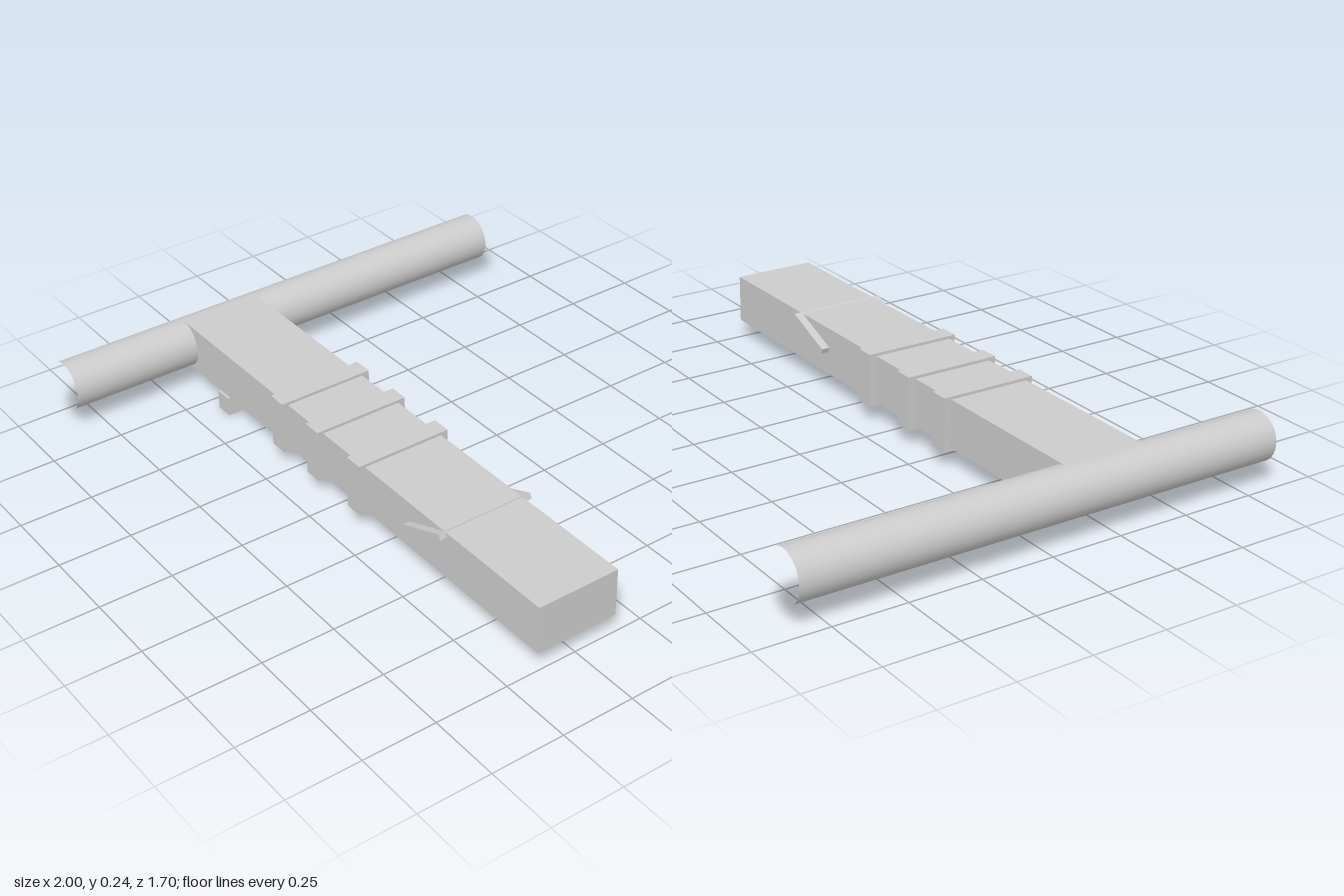
import * as THREE from 'three';

const material = new THREE.MeshStandardMaterial({ color: 0xcccccc });

export function createModel() {
  const model = new THREE.Group();
  const add = (name, geometry, x, y, z) => {
    const mesh = new THREE.Mesh(geometry, material);
    mesh.name = name;
    mesh.position.set(x, y, z);
    model.add(mesh);
    return mesh;
  };
  const box = (name, w, h, d, x, y, z) => add(name, new THREE.BoxGeometry(w, h, d), x, y, z);

  const tubeX = -0.917, tubeY = 0.148, radius = 0.083;
  const bodyZ = 0.245, bodyDepth = 0.29;

  // Open cross tube
  const tube = new THREE.CylinderGeometry(radius, radius, 1.7, 40, 1, true).rotateX(Math.PI / 2);
  add('crossTube', tube, tubeX, tubeY, 0);

  // Rectangular beam with its end scooped out to fit the tube
  const profile = new THREE.Shape();
  profile.moveTo(tubeX, tubeY - radius);
  profile.lineTo(1, tubeY - radius);
  profile.lineTo(1, tubeY + radius);
  profile.lineTo(tubeX, tubeY + radius);
  profile.absarc(tubeX, tubeY, radius, Math.PI / 2, -Math.PI / 2, true);
  const beam = new THREE.ExtrudeGeometry(profile, { depth: bodyDepth, bevelEnabled: false, curveSegments: 20 });
  add('beam', beam, 0, 0, bodyZ - bodyDepth / 2);

  // Bands wrapped around the beam
  for (const x of [-0.305, -0.105, 0.123]) box('band', 0.066, 0.186, 0.338, x, 0.148, 0.243);

  // Slanted plate passing through the beam
  const plate = box('slantedPlate', 0.194, 0.019, 0.344, 0.478, 0.189, 0.243);
  plate.rotation.z = Math.atan2(0.07, 0.176);

  // Cross foot under the tube end
  box('foot', 0.06, 0.066, 0.334, -0.665, 0.033, 0.233);

  // Small tapered pad under the free end
  const pad = new THREE.CylinderGeometry(0.05, 0.036, 0.012, 4).rotateY(Math.PI / 4).toNonIndexed();
  pad.computeVertexNormals();
  add('pad', pad, 0.838, 0.06, 0.25);

  return model;
}
